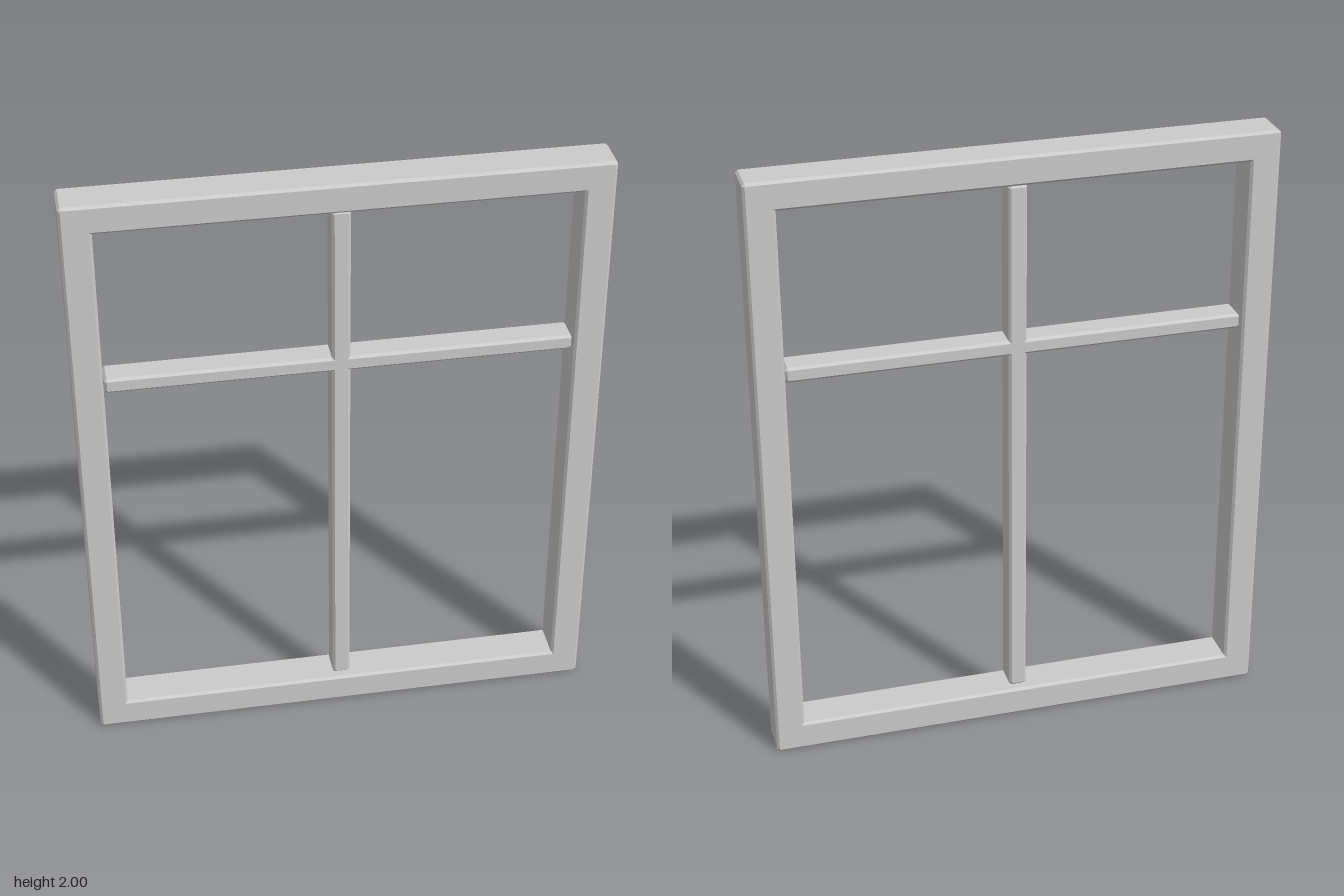
import * as THREE from 'three';

const BEVEL = 0.008;

// Closed outline; the listed corners are cut off by a small chamfer
function outline(points, chamfered, target) {
  const out = [];
  points.forEach(([x, y], i) => {
    const p = new THREE.Vector2(x, y);
    if (!chamfered(i)) return out.push(p);
    const n = points.length;
    for (const j of [(i + n - 1) % n, (i + 1) % n]) {
      const d = new THREE.Vector2(...points[j]).sub(p).setLength(BEVEL);
      out.push(p.clone().add(d));
    }
  });
  target.setFromPoints(out);
  return target;
}

const rect = (x, y0, y1) => [[-x, y0], [x, y0], [x, y1], [-x, y1]];

// Slab centred on z = 0 with chamfered front and back edges
function slab(name, shape, depth, material) {
  const geometry = new THREE.ExtrudeGeometry(shape, {
    depth: depth - 2 * BEVEL,
    bevelEnabled: true,
    bevelThickness: BEVEL,
    bevelSize: BEVEL,
    bevelOffset: -BEVEL,
    bevelSegments: 1,
  });
  geometry.translate(0, 0, -depth / 2 + BEVEL);
  const mesh = new THREE.Mesh(geometry, material);
  mesh.name = name;
  return mesh;
}

export function createModel() {
  const group = new THREE.Group();
  group.name = 'windowFrame';
  const material = new THREE.MeshStandardMaterial({ color: 0xcccccc, flatShading: true });

  // Outer frame with one large opening
  const frame = outline(rect(0.83, 0, 2), () => true, new THREE.Shape());
  frame.holes.push(outline(rect(0.735, 0.098, 1.906).reverse(), () => false, new THREE.Path()));
  group.add(slab('outerFrame', frame, 0.13, material));

  // Crossed glazing bars, set back from the frame faces
  const w = 0.029, x = 0.732, bottom = 0.103, top = 1.902, low = 1.338, high = 1.388;
  const cross = [
    [-w, bottom], [w, bottom], [w, low], [x, low], [x, high], [w, high],
    [w, top], [-w, top], [-w, high], [-x, high], [-x, low], [-w, low],
  ];
  const isInnerCorner = (i) => i % 3 === 2;
  group.add(slab('glazingBars', outline(cross, (i) => !isInnerCorner(i), new THREE.Shape()), 0.09, material));

  return group;
}
